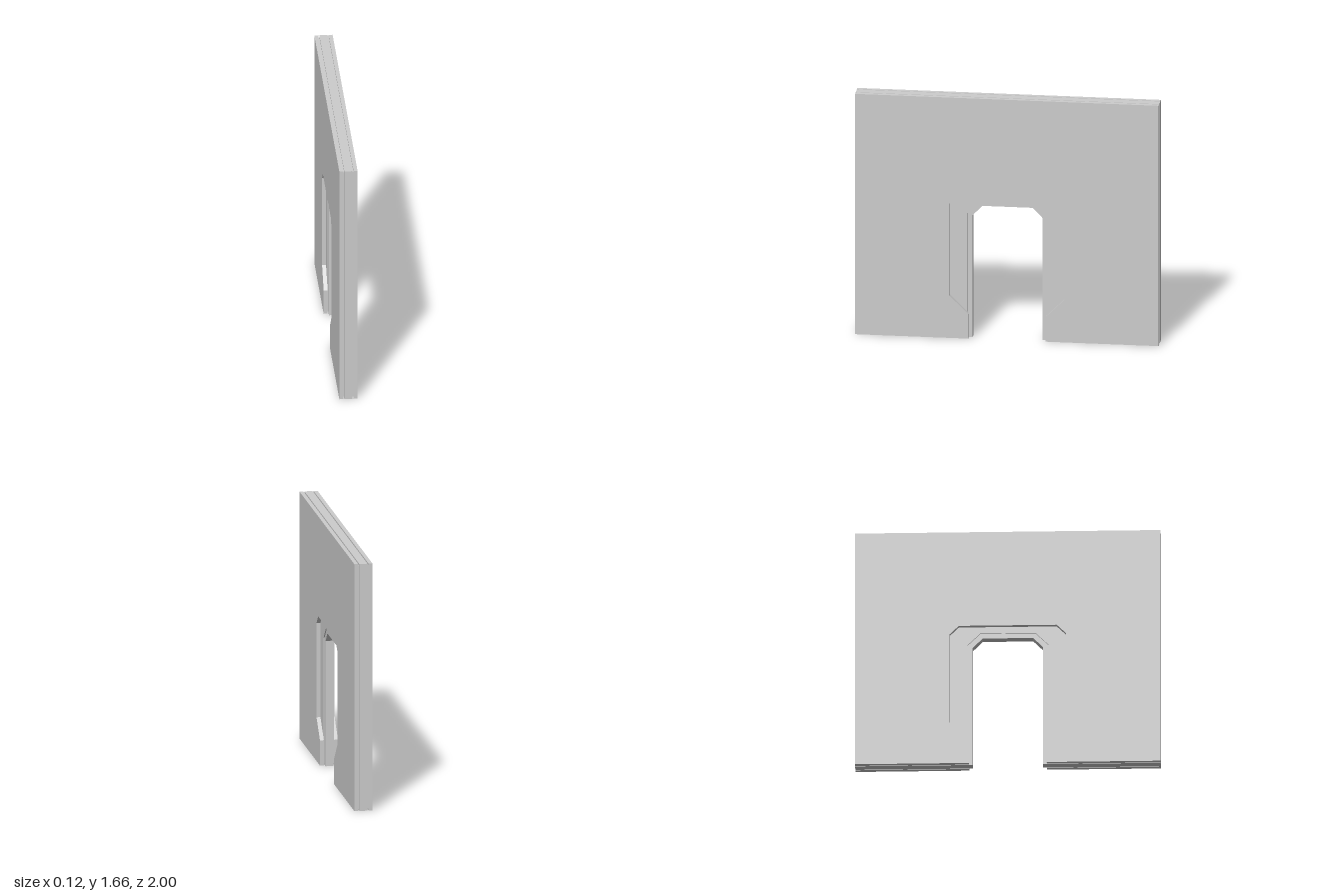
import * as THREE from 'three';

const HEIGHT = 1.665;

// Half-contours of the door openings, from the floor up to the lintel: [half width, height]
const doorway = [[0.23, 0], [0.23, 0.845], [0.165, 0.912]];
const seamDoorway = [[0.265, 0], [0.265, 0.86], [0.18, 0.945]];
const recess = [[0.255, 0], [0.255, 0.17], [0.38, 0.295], [0.38, 0.93], [0.32, 0.99]];

// Wall slab lying in the z-y plane between x0 and x1, with a mirrored opening
function slab(name, material, opening, x0, x1, inset = 0) {
  const w = 1 - inset, top = HEIGHT - inset;
  const half = opening.map(([z, y]) => [z, Math.max(y, inset)]);
  const mirrored = half.map(([z, y]) => [-z, y]).reverse();
  const outline = [[-w, inset], [-w, top], [w, top], [w, inset], ...half, ...mirrored];
  const shape = new THREE.Shape(outline.map(([z, y]) => new THREE.Vector2(z, y)));
  const geometry = new THREE.ExtrudeGeometry(shape, { depth: x1 - x0, bevelEnabled: false });
  geometry.rotateY(Math.PI / 2).translate(x0, 0, 0);
  const mesh = new THREE.Mesh(geometry, material);
  mesh.name = name;
  return mesh;
}

export function createModel() {
  const group = new THREE.Group();
  group.name = 'doorwayWall';
  const grey = new THREE.MeshStandardMaterial({ color: 0xcccccc });
  grey.name = 'light grey';

  // Core with the narrow doorway
  group.add(slab('wallCore', grey, doorway, -0.027, 0.027));

  // Recessed seams and outer panels on both sides
  for (const [side, s] of [['left', 1], ['right', -1]]) {
    const span = (a, b) => (s > 0 ? [a, b] : [-b, -a]);
    group.add(slab(side + 'Seam', grey, seamDoorway, ...span(0.027, 0.034), 0.012));
    group.add(slab(side + 'Panel', grey, recess, ...span(0.034, 0.06)));
  }
  return group;
}
